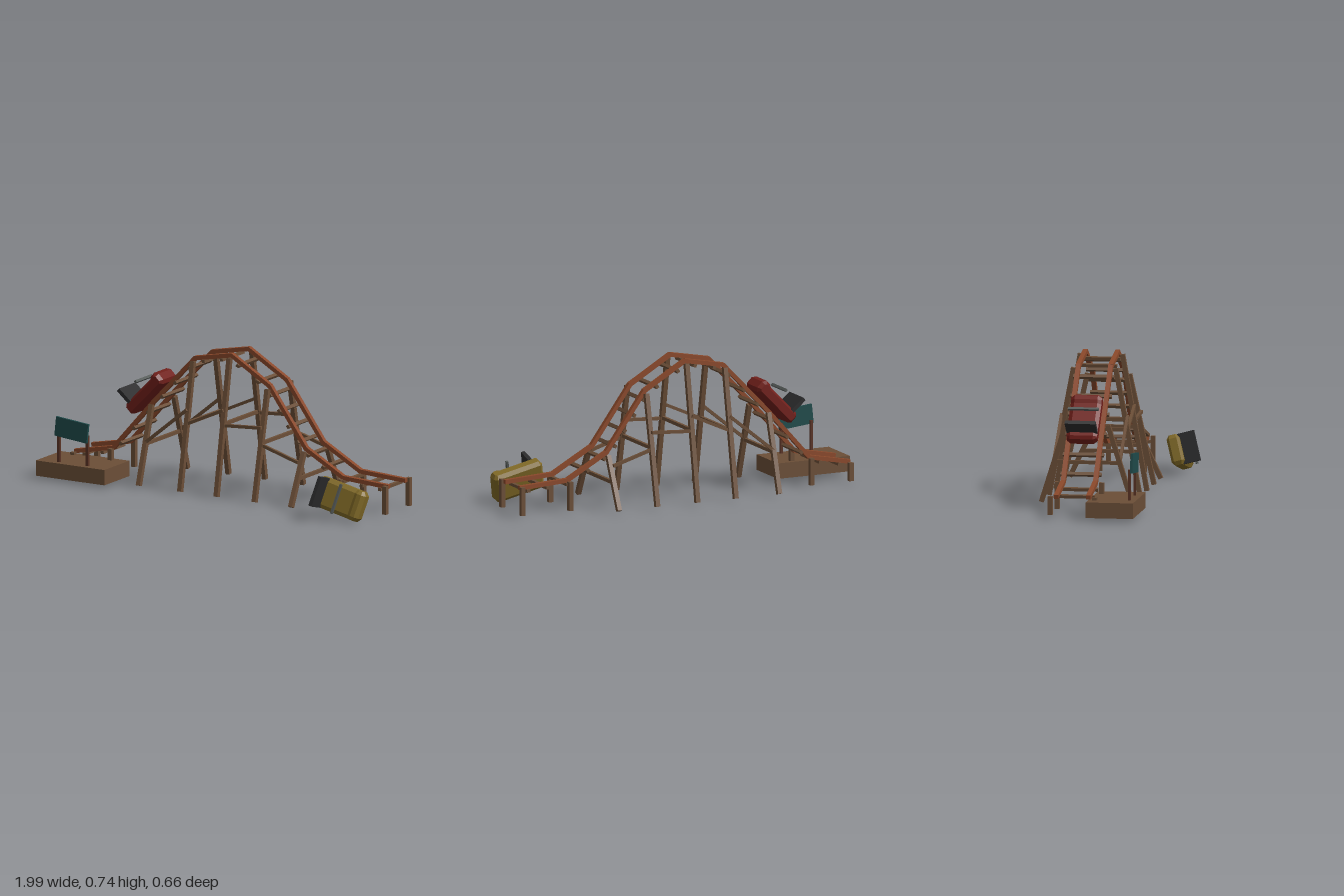
import * as THREE from 'three';

const mat = (name, color) => Object.assign(new THREE.MeshStandardMaterial({ color }), { name });

export function createModel() {
  const root = new THREE.Group();
  root.name = 'rollerCoaster';
  const wood = mat('wood', 0x6b4e37), rust = mat('rustyRail', 0x8a482a);
  const post = mat('signPost', 0x5a3325), teal = mat('signTeal', 0x1f4a4a);
  const red = mat('carRed', 0x701f1a), yellow = mat('carYellow', 0x7f6826);
  const dark = mat('seatDark', 0x2b2b2c), grey = mat('barGrey', 0x555a58);

  const box = (parent, name, m, size, pos) => {
    const mesh = new THREE.Mesh(new THREE.BoxGeometry(...size), m);
    mesh.name = name;
    mesh.position.set(...pos);
    parent.add(mesh);
    return mesh;
  };
  // beam running between two points
  const beam = (name, m, a, b, w, h, extra = 0) => {
    const A = new THREE.Vector3(...a), B = new THREE.Vector3(...b);
    const mesh = box(root, name, m, [w, h, A.distanceTo(B) + extra], A.clone().lerp(B, 0.5).toArray());
    mesh.lookAt(B);
    return mesh;
  };

  // track centreline: x, y
  const midZ = -0.08;
  const path = [[-0.91, 0.12], [-0.68, 0.165], [-0.435, 0.44], [-0.185, 0.7], [0.035, 0.742],
    [0.265, 0.607], [0.485, 0.303], [0.71, 0.178], [0.98, 0.163]];
  const sides = [1, -1];

  // rails
  for (const s of sides)
    for (let i = 0; i < path.length - 1; i++)
      beam('rail', rust, [...path[i], midZ + s * 0.084], [...path[i + 1], midZ + s * 0.084], 0.024, 0.022, 0.006);

  // cross ties under the rails
  const tieX = [-0.85, -0.74, -0.64, -0.56, -0.475, -0.39, -0.31, -0.225, -0.13, -0.02, 0.09, 0.21,
    0.29, 0.345, 0.4, 0.455, 0.51, 0.605, 0.715, 0.83, 0.94];
  for (const x of tieX) {
    const i = path.findIndex((p, k) => k < path.length - 1 && x < path[k + 1][0]);
    const [a, b] = [path[i], path[i + 1]];
    const ang = Math.atan2(b[1] - a[1], b[0] - a[0]);
    const y = a[1] + (x - a[0]) * Math.tan(ang);
    const tie = box(root, 'crossTie', wood, [0.018, 0.016, 0.214],
      [x + Math.sin(ang) * 0.018, y - Math.cos(ang) * 0.018, midZ]);
    tie.rotation.z = ang;
  }

  // splayed legs with a crossbar for each pair
  for (const [x, y] of path.slice(2, 7)) {
    const top = y - 0.012, foot = 0.024, barY = y * 0.53;
    const spread = 0.237 - 0.127 * (barY - foot) / (top - foot);
    for (const s of sides)
      beam('leg', wood, [x, foot, midZ + s * 0.237], [x, top, midZ + s * 0.11], 0.024, 0.024);
    box(root, 'legCrossbar', wood, [0.016, 0.018, spread * 2], [x, barY, midZ]);
  }

  // diagonal braces between neighbouring legs
  const braces = [[-0.435, 0.24, -0.185, 0.443], [-0.185, 0.368, 0.035, 0.467],
    [0.035, 0.388, 0.265, 0.402], [0.265, 0.314, 0.485, 0.248]];
  for (const [x0, y0, x1, y1] of braces)
    for (const s of sides)
      beam('brace', wood, [x0, y0, midZ + s * 0.172], [x1, y1, midZ + s * 0.172], 0.015, 0.016);

  // short posts at both ends
  for (const [x, top] of [[-0.905, 0.12], [-0.68, 0.165], [0.705, 0.175], [0.98, 0.172]])
    for (const s of sides)
      box(root, 'shortPost', wood, [0.024, top - 0.024, 0.024], [x, (top + 0.024) / 2, midZ + s * 0.116]);

  // boarding platform and its crooked sign
  box(root, 'platform', wood, [0.414, 0.081, 0.246], [-0.793, 0.066, 0.127]);
  for (const x of [-0.882, -0.71])
    box(root, 'signPost', post, [0.015, 0.16, 0.012], [x, 0.185, 0.214]);
  box(root, 'signBoard', teal, [0.195, 0.102, 0.013], [-0.797, 0.288, 0.226]).rotation.z = -0.1;

  // car: chamfered body, seat back and lap bar; x forward, y up
  const profile = [[-0.14, -0.02], [-0.125, -0.034], [0.125, -0.034], [0.142, -0.018], [0.142, 0.022],
    [0.125, 0.042], [0.1, 0.042], [0.082, 0.033], [-0.125, 0.033], [-0.14, 0.02]];
  const bevel = 0.014;
  const bodyGeo = new THREE.ExtrudeGeometry(new THREE.Shape(profile.map(p => new THREE.Vector2(...p))), {
    depth: 0.12, bevelEnabled: true, bevelThickness: 0.02, bevelSize: bevel, bevelOffset: -bevel, bevelSegments: 1,
  });
  bodyGeo.translate(0, 0, -0.06);
  const car = (name, paint, pos, forward, up) => {
    const g = new THREE.Group();
    g.name = name;
    const d = new THREE.Vector3(...forward).normalize();
    const w = d.clone().cross(new THREE.Vector3(...up)).normalize();
    const u = w.clone().cross(d);
    g.quaternion.setFromRotationMatrix(new THREE.Matrix4().makeBasis(d, u, w));
    g.position.set(...pos);
    const body = new THREE.Mesh(bodyGeo, paint);
    body.name = 'carBody';
    g.add(body);
    box(g, 'seatBack', dark, [0.02, 0.09, 0.16], [-0.097, 0.067, 0]).rotation.z = 0.06;
    box(g, 'lapBar', grey, [0.012, 0.014, 0.16], [0.013, 0.075, 0]);
    root.add(g);
  };
  car('redCar', red, [-0.508, 0.465, midZ], [0.7, 0.715, 0], [-0.715, 0.7, 0]);
  car('fallenYellowCar', yellow, [0.813, 0.117, 0.2], [0.97, -0.22, 0], [0.057, 0.25, 0.96]);

  return root;
}
